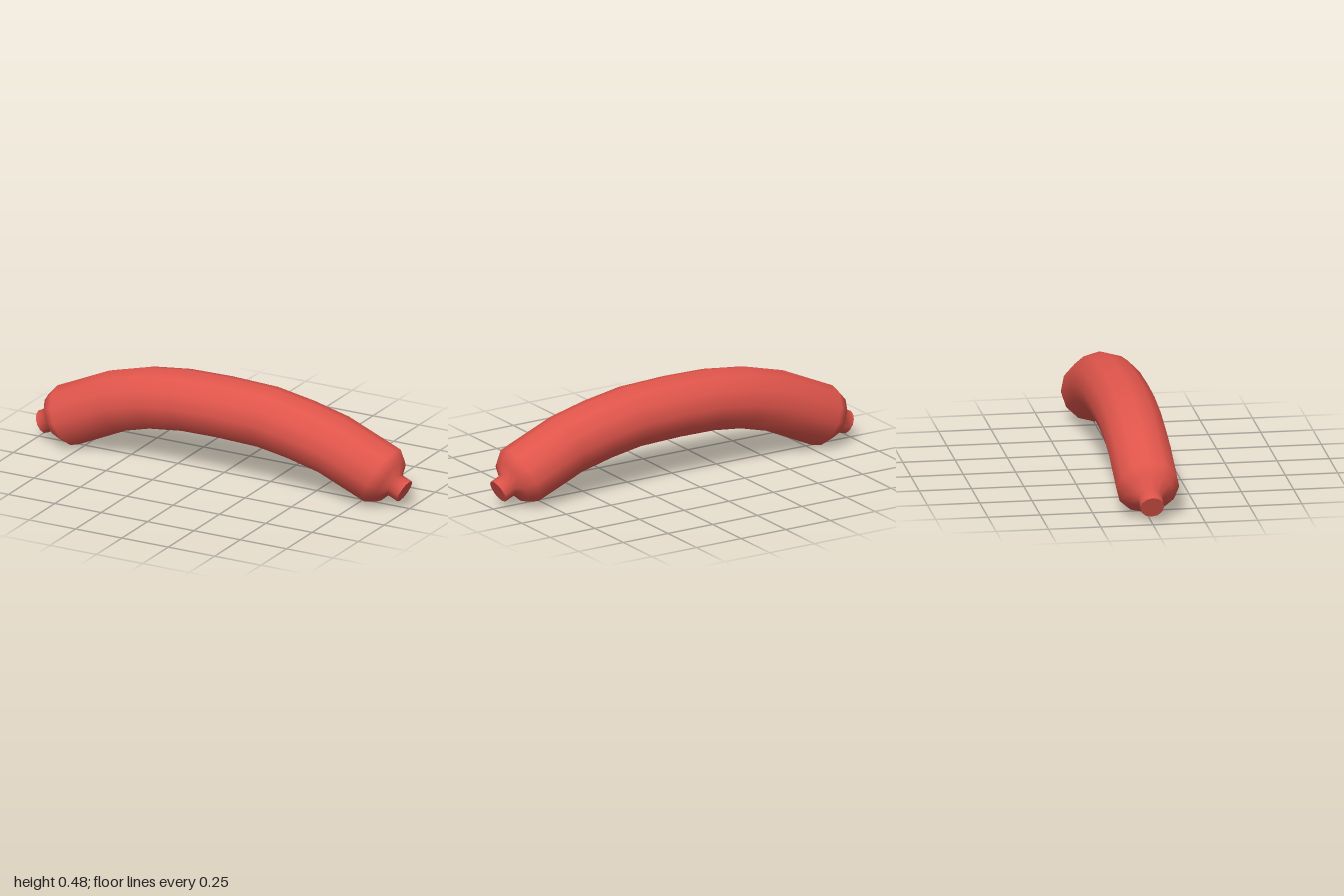
import * as THREE from 'three';

const SIDES = 12;

// Cross-sections from end to end: centre x, centre y, tilt in degrees, radius
const RINGS = [
  [-0.977, 0.081, 24.5, 0.057],
  [-0.922, 0.106, 24.5, 0.057],
  [-0.898, 0.125, 23.5, 0.114],
  [-0.84, 0.14, 23.5, 0.15],
  [-0.575, 0.26, 18, 0.15],
  [-0.39, 0.309, 12, 0.15],
  [-0.205, 0.331, 7, 0.15],
  [0, 0.334, 0, 0.15],
  [0.235, 0.326, -6, 0.15],
  [0.415, 0.295, -15, 0.15],
  [0.59, 0.252, -19, 0.15],
  [0.853, 0.143, -26, 0.15],
  [0.898, 0.121, -26, 0.116],
  [0.92, 0.108, -26, 0.058],
  [0.973, 0.085, -26, 0.058],
];

function ringPoints([x, y, tilt, r]) {
  const t = THREE.MathUtils.degToRad(tilt);
  return Array.from({ length: SIDES }, (_, i) => {
    const a = (i / SIDES) * Math.PI * 2;
    const up = Math.cos(a) * r;
    return [x - Math.sin(t) * up, y + Math.cos(t) * up, Math.sin(a) * r];
  });
}

function makeGeometry(points, index) {
  const geometry = new THREE.BufferGeometry();
  geometry.setAttribute('position', new THREE.Float32BufferAttribute(points.flat(), 3));
  geometry.setIndex(index);
  geometry.computeVertexNormals();
  return geometry;
}

// Curved skin joining all the cross-sections, closed around with no seam
function skinGeometry() {
  const index = [];
  for (let j = 0; j < RINGS.length - 1; j++) {
    for (let i = 0; i < SIDES; i++) {
      const a = j * SIDES + i;
      const b = j * SIDES + ((i + 1) % SIDES);
      index.push(a, b, a + SIDES, b, b + SIDES, a + SIDES);
    }
  }
  return makeGeometry(RINGS.flatMap(ringPoints), index);
}

// Flat disc closing a tied end
function endGeometry(ring, facesRight) {
  const index = [];
  for (let i = 1; i < SIDES - 1; i++) {
    index.push(0, ...(facesRight ? [i, i + 1] : [i + 1, i]));
  }
  return makeGeometry(ringPoints(ring), index);
}

export function createModel() {
  const group = new THREE.Group();
  group.name = 'sausage';
  const material = new THREE.MeshStandardMaterial({ color: 0xe0554b });

  const add = (name, geometry) => {
    const mesh = new THREE.Mesh(geometry, material);
    mesh.name = name;
    group.add(mesh);
  };

  add('skin', skinGeometry());
  add('rightEnd', endGeometry(RINGS[0], false));
  add('leftEnd', endGeometry(RINGS[RINGS.length - 1], true));
  return group;
}
